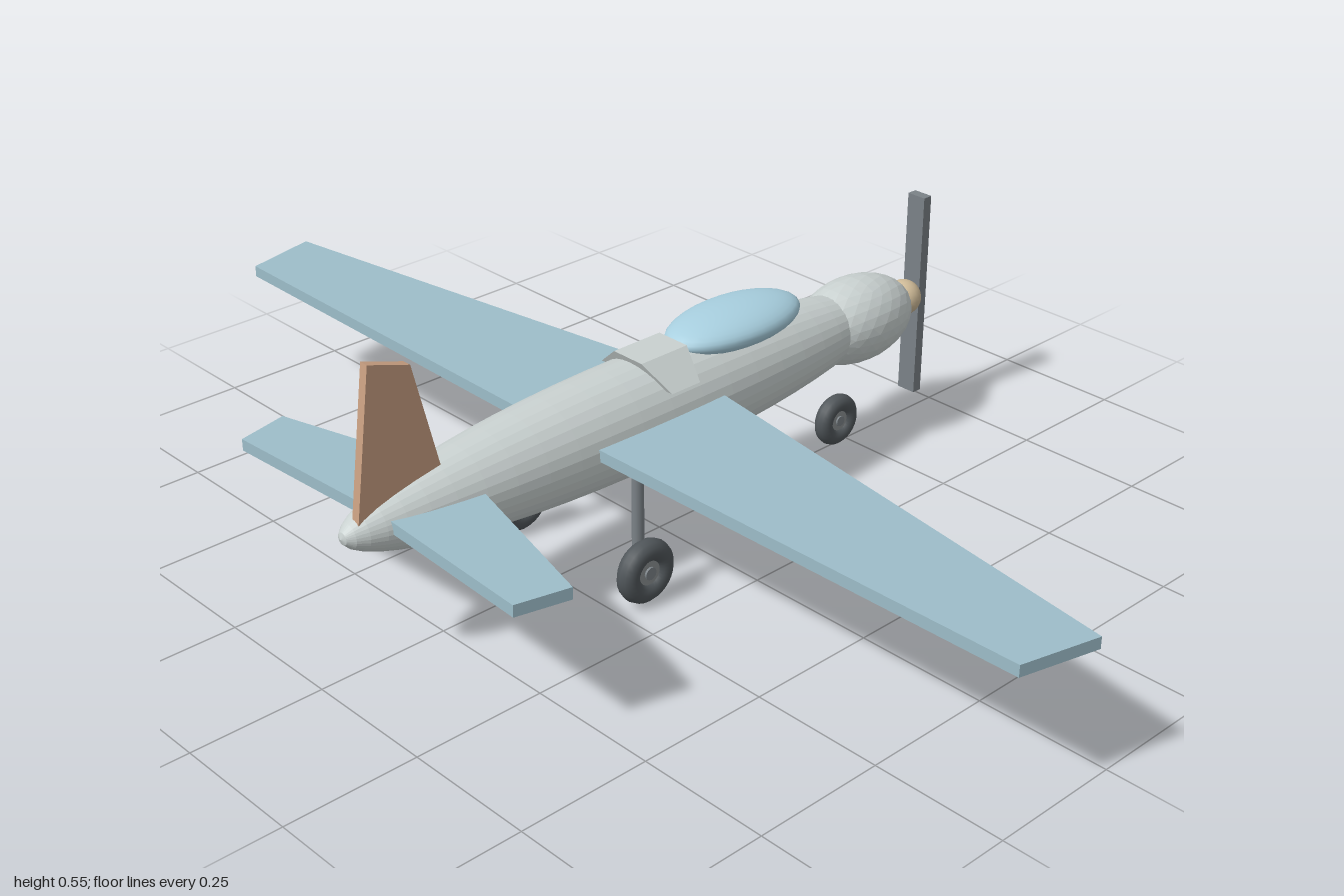
import * as THREE from 'three';

const mat = (name, color) => Object.assign(new THREE.MeshStandardMaterial({ color }), { name });

// give every face its own normal
function flat(geo) {
  const g = geo.index ? geo.toNonIndexed() : geo;
  g.computeVertexNormals();
  return g;
}

export function createModel() {
  const body = mat('pale grey', 0xc9d1d0);
  const wingBlue = mat('wing blue', 0x9dbdc9);
  const glass = mat('canopy blue', 0xa8cfdf);
  const finTan = mat('fin copper', 0xcba183);
  const cream = mat('spinner cream', 0xcfbb98);
  const metal = mat('prop grey', 0x7b8287);
  const rubber = mat('tyre grey', 0x50565a);
  const hubGrey = mat('hub grey', 0x8b9092);

  const group = new THREE.Group();
  const add = (name, geo, material, x = 0, y = 0, z = 0, parent = group) => {
    const m = new THREE.Mesh(geo, material);
    m.name = name;
    m.position.set(x, y, z);
    parent.add(m);
    return m;
  };

  // fuselage, engine cowl, canopy, spinner
  add('fuselage', flat(new THREE.SphereGeometry(1, 32, 28).rotateX(Math.PI / 2).scale(0.101, 0.101, 0.64)),
    body, 0, 0.263, 0.053);
  add('cowl', flat(new THREE.IcosahedronGeometry(1, 4).scale(0.084, 0.083, 0.137)), body, 0, 0.26, -0.51);
  add('canopy', new THREE.SphereGeometry(1, 28, 18).scale(0.08, 0.036, 0.154), glass, 0, 0.361, -0.182);
  add('spinner', new THREE.SphereGeometry(0.035, 20, 14), cream, 0, 0.26, -0.652);
  add('propeller', new THREE.BoxGeometry(0.04, 0.415, 0.02), metal, 0, 0.258, -0.685);

  // raised saddle behind the canopy, narrowing in length towards its sides
  const saddle = new THREE.Shape([[-0.09, 0.33], [0.09, 0.33], [0.035, 0.375], [-0.035, 0.375]]
    .map(p => new THREE.Vector2(...p)));
  const saddleGeo = new THREE.ExtrudeGeometry(saddle, { depth: 0.108, bevelEnabled: false }).translate(0, 0, -0.054);
  const sp = saddleGeo.attributes.position;
  for (let i = 0; i < sp.count; i++) if (sp.getY(i) < 0.35) sp.setZ(i, sp.getZ(i) * 0.62);
  add('saddle', flat(saddleGeo), body, 0, 0, 0.021);

  // belly scoop
  add('bellyScoop', flat(new THREE.CylinderGeometry(0.055, 0.025, 0.05, 8).scale(0.8, 1, 1)), body, 0, 0.165, 0.02);

  // wings and tailplanes: planform points [x, z], drooping with distance from the centre
  function panel(name, pts, side, bottom, thick, droop) {
    const shape = new THREE.Shape(pts.map(([x, z]) => new THREE.Vector2(side * x, -z)));
    const geo = new THREE.ExtrudeGeometry(shape, { depth: thick, bevelEnabled: false }).rotateX(-Math.PI / 2);
    const p = geo.attributes.position;
    for (let i = 0; i < p.count; i++) p.setY(i, p.getY(i) - droop * Math.abs(p.getX(i)));
    add(name, flat(geo), wingBlue, 0, bottom, 0);
  }
  for (const [label, side] of [['left', 1], ['right', -1]]) {
    panel(label + 'Wing', [[0, -0.08], [1, 0.05], [0.965, 0.197], [0, 0.23]], side, 0.267, 0.022, 0.018);
    panel(label + 'Tailplane', [[0, 0.437], [0.38, 0.537], [0.357, 0.636], [0, 0.62]], side, 0.264, 0.022, 0.01);
  }

  // tail fin
  const fin = new THREE.Shape([[0.668, 0.285], [0.632, 0.557], [0.55, 0.53], [0.495, 0.31]]
    .map(p => new THREE.Vector2(...p)));
  add('tailFin', new THREE.ExtrudeGeometry(fin, { depth: 0.017, bevelEnabled: false }).rotateY(-Math.PI / 2),
    finTan, 0.017, 0, 0);

  // wheels with a round tyre, hub disc and axle cap
  function wheel(name, r, x, y, z) {
    const w = new THREE.Group();
    w.name = name;
    w.position.set(x, y, z);
    const tube = r * 0.34;
    add('tyre', new THREE.TorusGeometry(r - tube, tube, 12, 28).rotateY(Math.PI / 2), rubber, 0, 0, 0, w);
    add('hub', new THREE.CylinderGeometry(r * 0.5, r * 0.5, tube * 1.1, 20).rotateZ(Math.PI / 2), hubGrey, 0, 0, 0, w);
    add('axleCap', new THREE.CylinderGeometry(r * 0.2, r * 0.2, tube * 1.5, 12).rotateZ(Math.PI / 2), metal, 0, 0, 0, w);
    group.add(w);
  }
  for (const [label, side] of [['left', 1], ['right', -1]]) {
    wheel(label + 'MainWheel', 0.06, side * 0.167, 0.068, 0.19);
    add(label + 'GearStrut', new THREE.CylinderGeometry(0.011, 0.011, 0.19, 12), metal, side * 0.149, 0.173, 0.19);
  }
  wheel('noseWheel', 0.052, 0, 0.057, -0.47);

  // rest the model on the ground
  const box = new THREE.Box3().setFromObject(group);
  group.children.forEach(c => { c.position.y -= box.min.y; });
  return group;
}
